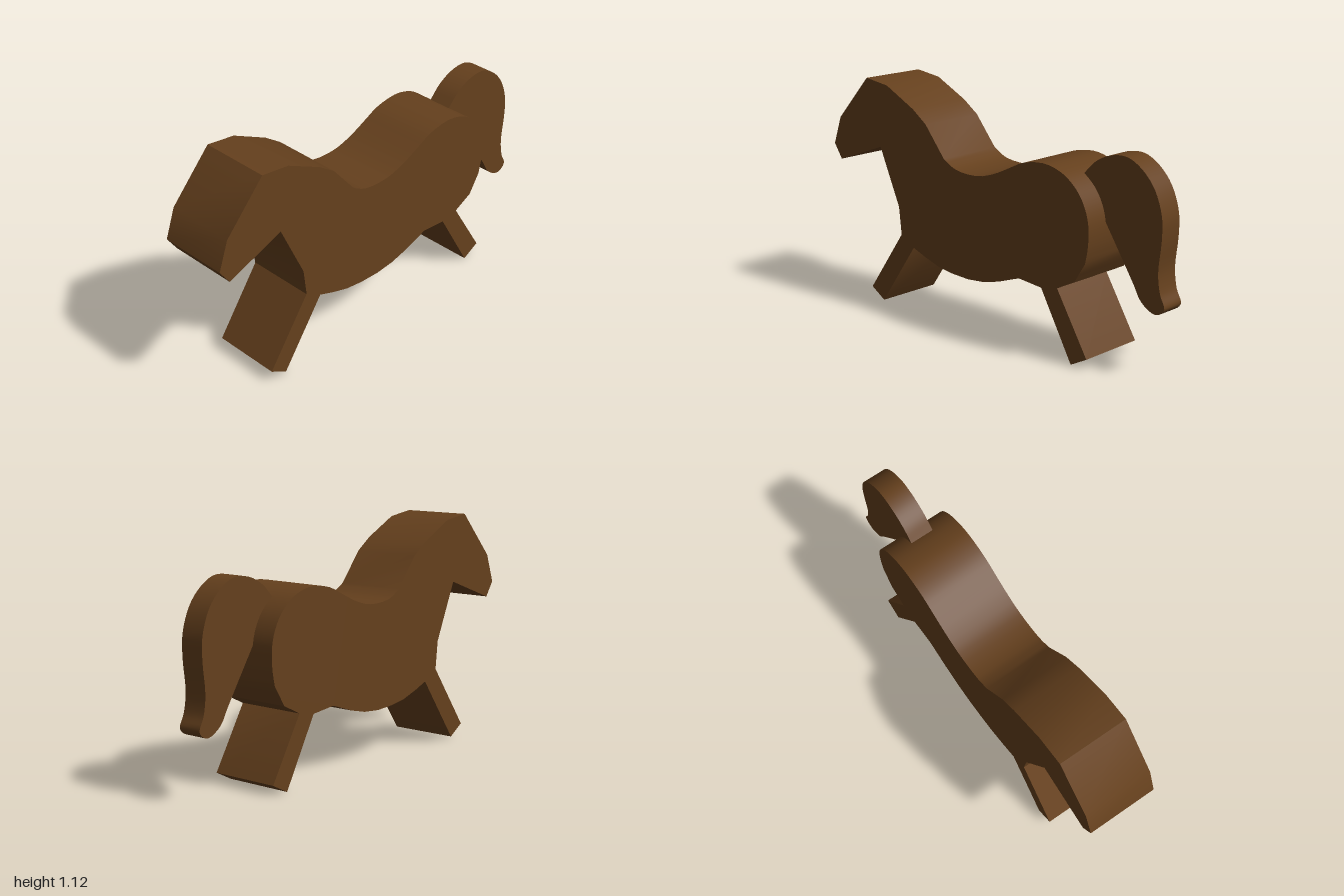
import * as THREE from 'three';
import { toCreasedNormals } from 'three/addons/utils/BufferGeometryUtils.js';

const brown = new THREE.MeshStandardMaterial({ color: 0x65401d });

// Extrudes an outline (x, y points) between two z values
function slab(name, points, z0, z1) {
  const shape = new THREE.Shape(points.map(([x, y]) => new THREE.Vector2(x, y)));
  const geometry = new THREE.ExtrudeGeometry(shape, { depth: z1 - z0, bevelEnabled: false });
  geometry.translate(0, 0, z0);
  const mesh = new THREE.Mesh(toCreasedNormals(geometry, 0.5), brown);
  mesh.name = name;
  return mesh;
}

// Rounds an open outline by running a curve through its points
function smooth(points, count) {
  const curve = new THREE.CatmullRomCurve3(points.map(([x, y]) => new THREE.Vector3(x, y, 0)));
  return curve.getPoints(count).map((p) => [p.x, p.y]);
}

export function createModel() {
  const horse = new THREE.Group();
  horse.name = 'horse';

  // Angular head, neck and chest
  const head = [
    [-0.43, 0.33], [-0.515, 0.38], [-0.53, 0.515], [-0.655, 0.793], [-0.95, 0.687],
    [-1, 0.76], [-0.95, 0.9], [-0.745, 1.12], [-0.6, 1.1], [-0.42, 1.01], [-0.335, 0.95],
  ];
  // Back and rump
  const back = smooth([
    [-0.215, 0.805], [-0.14, 0.767], [0, 0.758], [0.105, 0.785], [0.195, 0.825],
    [0.29, 0.868], [0.405, 0.885], [0.48, 0.873], [0.545, 0.845], [0.61, 0.79],
    [0.65, 0.725], [0.67, 0.655], [0.67, 0.56], [0.655, 0.48],
  ], 39);
  // Haunch and belly
  const belly = [
    [0.62, 0.425], [0.595, 0.385], [0.495, 0.335], [0.4, 0.317], [0.265, 0.33],
    [0.135, 0.285], [0.04, 0.262], [-0.06, 0.253], [-0.165, 0.258], [-0.26, 0.272], [-0.35, 0.3],
  ];
  horse.add(slab('body', [...head, ...back, ...belly], -0.17, 0.17));

  // Legs, their tops buried just inside the body
  horse.add(slab('frontLegs', [
    [-0.74, 0.065], [-0.655, 0.013], [-0.43, 0.33], [-0.42, 0.38], [-0.515, 0.38],
  ], -0.169, 0.169));
  horse.add(slab('hindLegs', [
    [0.58, 0], [0.67, 0.047], [0.495, 0.335], [0.45, 0.37], [0.4, 0.317],
  ], -0.169, 0.169));

  // Narrow curved tail
  horse.add(slab('tail', smooth([
    [0.545, 0.845], [0.607, 0.905], [0.687, 0.945], [0.783, 0.953], [0.865, 0.912],
    [0.933, 0.837], [0.974, 0.725], [0.976, 0.623], [0.962, 0.48], [0.975, 0.39],
    [1, 0.33], [0.978, 0.302], [0.945, 0.294], [0.875, 0.333], [0.83, 0.405], [0.67, 0.65],
  ], 60), -0.06, 0.056));

  return horse;
}
